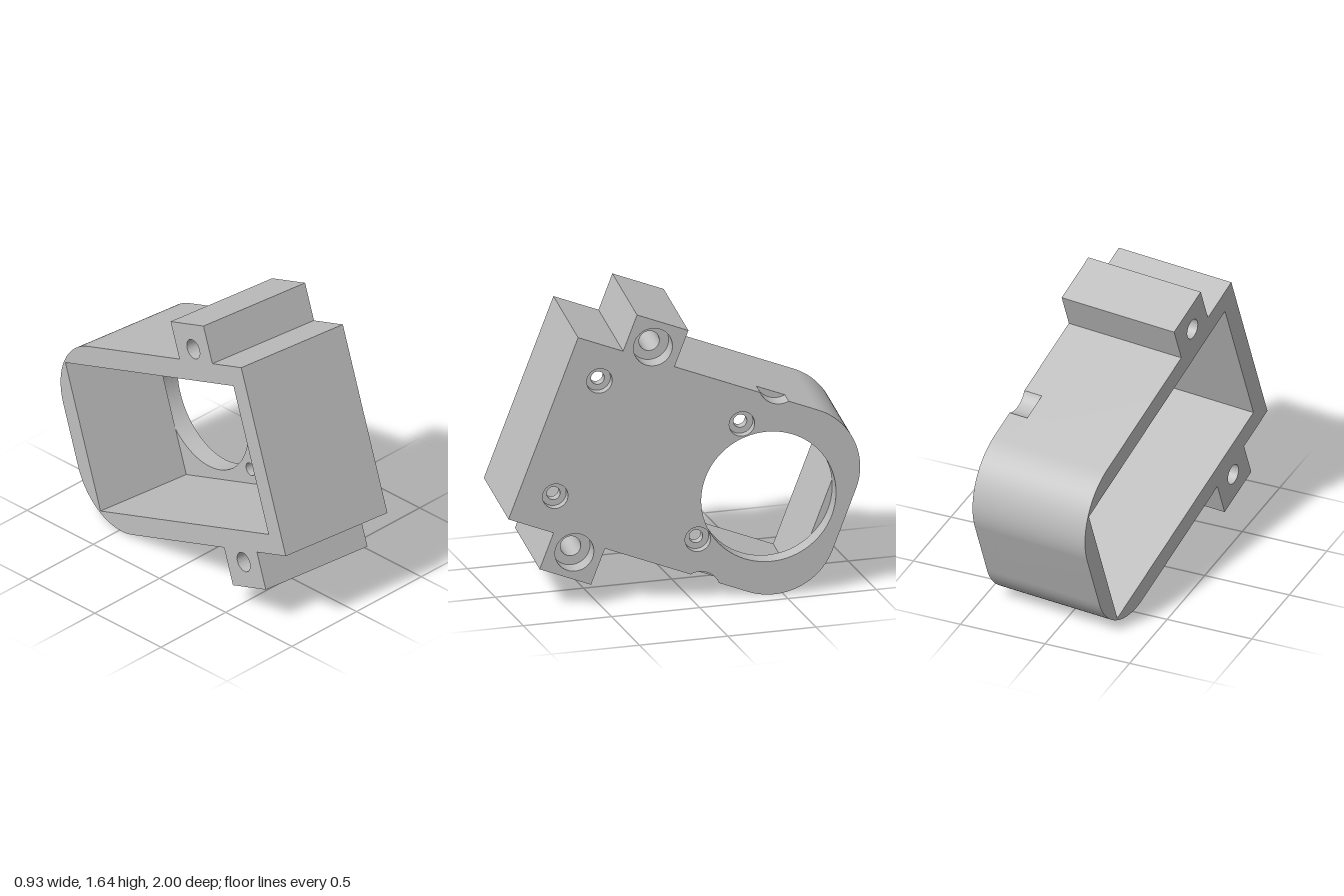
import * as THREE from 'three';
import { toCreasedNormals } from 'three/addons/utils/BufferGeometryUtils.js';

// Profile plane: s runs from the front edge to the rounded rear, t runs upward.
const H = 1.083, LEN = 1.77, R = 0.36;        // height, length, rear corner radius
const TAB0 = 0.265, TAB1 = 0.567, TAB_H = 0.216;
const DEPTH = 0.706;                          // full thickness
const SKIN = 0.052, PLATE = 0.11;             // counterbore layer, total plate thickness
const BORE = [1.325, H / 2, 0.371];
const SCREWS = [[0.2, 0.199], [0.2, 0.886], [1.038, 0.199], [1.038, 0.886]];
const TAB_HOLES = [[0.414, -0.07], [0.414, H + 0.07]];

// Housing outline with two mounting tabs and optional edge notches
function outline(notched) {
  const p = new THREE.Shape();
  const ns = 1.155, off = 0.075, nr = 0.112, a = Math.asin(off / nr);
  p.moveTo(0, 0);
  p.lineTo(TAB0, 0);
  p.lineTo(TAB0, -TAB_H);
  p.lineTo(TAB1, -TAB_H);
  p.lineTo(TAB1, 0);
  if (notched) p.absarc(ns, -off, nr, Math.PI - a, a, true);
  p.lineTo(LEN - R, 0);
  p.absarc(LEN - R, R, R, -Math.PI / 2, 0, false);
  p.lineTo(LEN, H - R);
  p.absarc(LEN - R, H - R, R, 0, Math.PI / 2, false);
  if (notched) p.absarc(ns, H + off, nr, -a, a - Math.PI, true);
  p.lineTo(TAB1, H);
  p.lineTo(TAB1, H + TAB_H);
  p.lineTo(TAB0, H + TAB_H);
  p.lineTo(TAB0, H);
  p.lineTo(0, H);
  return p;
}

function drill(shape, s, t, r) {
  shape.holes.push(new THREE.Path().absarc(s, t, r, 0, Math.PI * 2, true));
}

export function createModel() {
  const metal = new THREE.MeshStandardMaterial({ color: 0xbfbfbf });
  metal.name = 'plain grey';

  const housing = new THREE.Group();
  housing.name = 'housing';

  function layer(name, shape, from, to) {
    const geo = new THREE.ExtrudeGeometry(shape, { depth: to - from, bevelEnabled: false, curveSegments: 40 });
    geo.translate(0, 0, from);
    const mesh = new THREE.Mesh(toCreasedNormals(geo, 0.5), metal);
    mesh.name = name;
    housing.add(mesh);
  }

  // Face plate in two layers, so the screw holes are counterbored
  const half = DEPTH / 2;
  const plate = (screwRadius) => {
    const shape = outline(true);
    drill(shape, ...BORE);
    SCREWS.forEach(([s, t]) => drill(shape, s, t, screwRadius));
    TAB_HOLES.forEach(([s, t]) => drill(shape, s, t, 0.107));
    return shape;
  };
  layer('facePlateOuter', plate(0.07), half - SKIN, half);
  layer('facePlateInner', plate(0.037), half - PLATE, half - SKIN);

  // Side walls around the open rectangular pocket
  const walls = outline(false);
  const w = 0.115, end = 1.658;
  walls.holes.push(new THREE.Path([[w, w], [w, H - w], [end, H - w], [end, w]]
    .map(([s, t]) => new THREE.Vector2(s, t))));
  TAB_HOLES.forEach(([s, t]) => drill(walls, s, t, 0.056));
  layer('pocketWalls', walls, -half, half - PLATE);

  // Stand the profile up, tilted in its plane and turned slightly about y
  const yaw = THREE.MathUtils.degToRad(6.7), tilt = THREE.MathUtils.degToRad(20.7);
  const n = new THREE.Vector3(Math.cos(yaw), 0, Math.sin(yaw));
  const h = new THREE.Vector3(-Math.sin(yaw), 0, Math.cos(yaw));
  const d = h.clone().multiplyScalar(-Math.cos(tilt)).setY(-Math.sin(tilt));
  const e = h.clone().multiplyScalar(-Math.sin(tilt)).setY(Math.cos(tilt));
  housing.quaternion.setFromRotationMatrix(new THREE.Matrix4().makeBasis(d, e, n));
  housing.position.copy(h).multiplyScalar(0.966).setY(0.525);

  const model = new THREE.Group();
  model.name = 'motorBracket';
  model.add(housing);
  return model;
}
